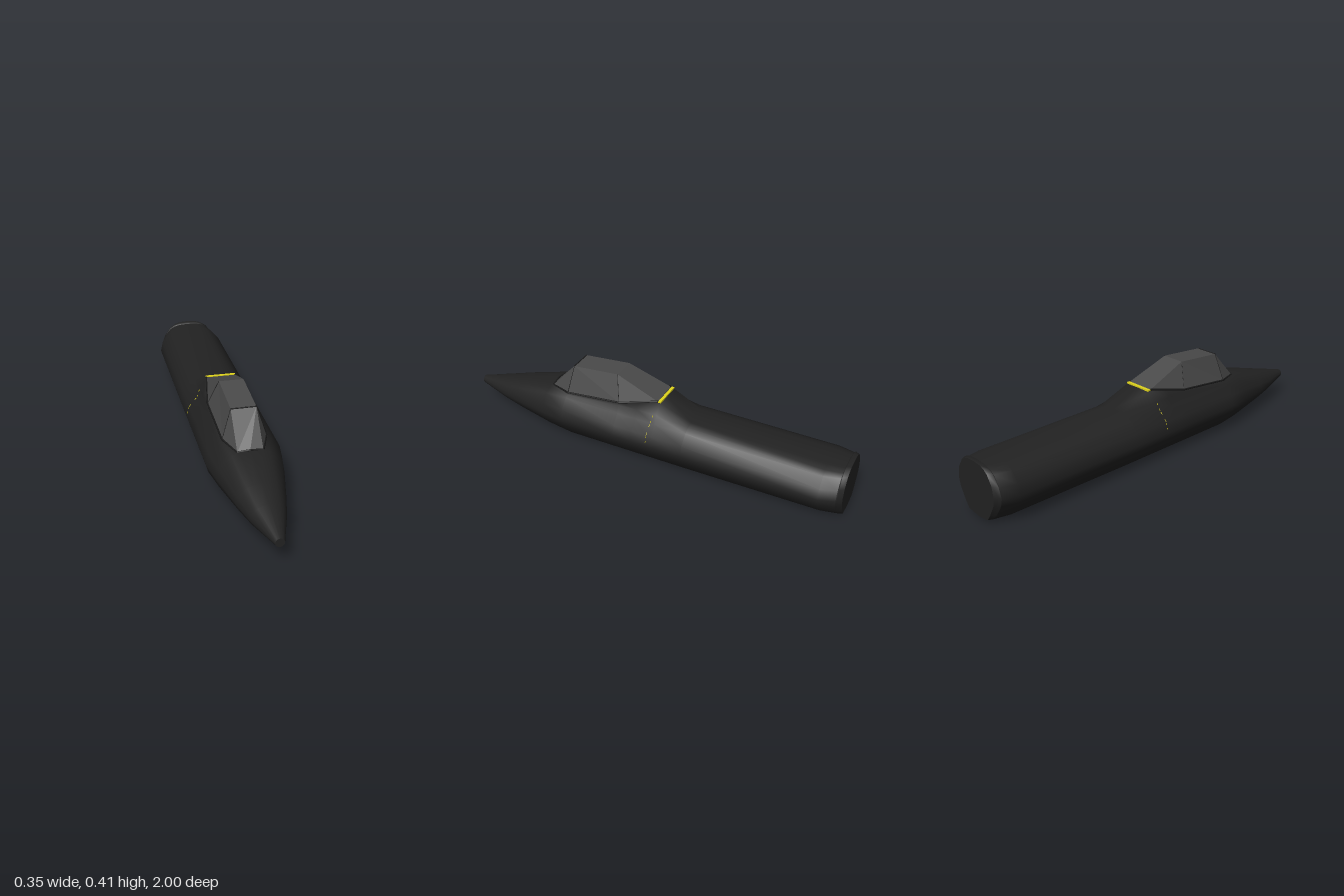
import * as THREE from 'three';

const mat = (name, color, double) => {
  const m = new THREE.MeshStandardMaterial({ color });
  m.name = name;
  if (double) m.side = THREE.DoubleSide;
  return m;
};

// Half of the main hull section, from keel to spine
const HALF = [[0, 0.003], [0.093, 0.012], [0.122, 0.042], [0.163, 0.1], [0.175, 0.14],
  [0.163, 0.193], [0.123, 0.24], [0.095, 0.255], [0.06, 0.264], [0, 0.267]];
const LAST = HALF.length - 1;

// Hull stations: z, half width, bottom, top, roundness, optional upper points (cockpit hump)
const STATIONS = [
  [1, 0.02, 0.09, 0.13, 1],
  [0.83, 0.078, 0.053, 0.176, 0.6],
  [0.72, 0.108, 0.035, 0.207, 0.4],
  [0.53, 0.153, 0.008, 0.254, 0.1],
  [0.41, 0.175, 0.003, 0.267, 0, [[0.11, 0.25], [0.095, 0.257], [0, 0.262]]],
  [0.12, 0.175, 0.003, 0.267, 0, [[0.11, 0.278], [0.102, 0.29], [0, 0.292]]],
  [0.02, 0.175, 0.003, 0.267, 0, [[0.107, 0.283], [0.092, 0.309], [0, 0.312]]],
  [-0.08, 0.175, 0.003, 0.267, 0, [[0.106, 0.28], [0.073, 0.332], [0, 0.334]]],
  [-0.24, 0.175, 0.003, 0.267, 0],
  [-0.9, 0.175, 0.008, 0.262, 0],
  [-0.975, 0.15, 0.011, 0.262, 0],
  [-0.98, 0.148, 0.011, 0.27, 0],
  [-1, 0.13, 0.011, 0.27, 0],
];

// Closed ring of points for one station
function ring([z, w, bottom, top, round, upper]) {
  const half = HALF.map(([x, y], i) => {
    const a = (i / LAST) * Math.PI;
    const nx = THREE.MathUtils.lerp(x / 0.175, Math.sin(a), round);
    const ny = THREE.MathUtils.lerp((y - 0.003) / 0.264, (1 - Math.cos(a)) / 2, round);
    return [nx * w, bottom + ny * (top - bottom)];
  });
  if (upper) half.splice(LAST - 2, 3, ...upper);
  const mirrored = half.slice(1, LAST).reverse().map(([x, y]) => [-x, y]);
  return [...half, ...mirrored].map(([x, y]) => new THREE.Vector3(x, y, z));
}

function loft(rings) {
  const n = rings[0].length, index = [];
  for (let r = 0; r < rings.length - 1; r++) {
    for (let i = 0; i < n; i++) {
      const a = r * n + i, b = r * n + (i + 1) % n;
      index.push(a, b, a + n, b, b + n, a + n);
    }
  }
  // Outward faces: stations run from nose to tail
  for (let i = 0; i < index.length; i += 3) [index[i + 1], index[i + 2]] = [index[i + 2], index[i + 1]];
  const g = new THREE.BufferGeometry().setFromPoints(rings.flat());
  g.setIndex(index);
  g.computeVertexNormals();
  return g;
}

// Flat polygon as a triangle fan
function panel(points) {
  const tris = [];
  for (let i = 1; i < points.length - 1; i++) tris.push(points[0], points[i], points[i + 1]);
  const g = new THREE.BufferGeometry().setFromPoints(tris);
  g.computeVertexNormals();
  return g;
}

// Straight rod between two points
function rod(a, b, radius) {
  const d = b.clone().sub(a);
  const g = new THREE.CylinderGeometry(radius, radius, d.length(), 6);
  g.applyQuaternion(new THREE.Quaternion().setFromUnitVectors(new THREE.Vector3(0, 1, 0), d.normalize()));
  const c = a.clone().add(b).multiplyScalar(0.5);
  return g.translate(c.x, c.y, c.z);
}

export function createModel() {
  const model = new THREE.Group();
  const hullMat = mat('hull black', 0x222222, true);
  const glassMat = mat('canopy grey', 0x4a4a4a, true);
  const trimMat = mat('trim black', 0x191919);
  const yellowMat = mat('marking yellow', 0xe0d41c);
  const add = (name, geometry, material) => {
    const m = new THREE.Mesh(geometry, material);
    m.name = name;
    model.add(m);
  };
  const v = (x, y, z) => new THREE.Vector3(x, y, z);

  // Fuselage and its end caps
  const rings = STATIONS.map(ring);
  add('fuselage', loft(rings.slice(0, 11)), hullMat);
  add('tailRim', loft(rings.slice(10)), hullMat);
  add('noseCap', panel(rings[0]), hullMat);
  add('tailCap', panel([...rings[rings.length - 1]].reverse()), hullMat);

  // Canopy corners for one side
  const corners = (s) => ({
    frontTop: v(0.058 * s, 0.393, 0.39), midTop: v(0.058 * s, 0.415, 0.15),
    rear: v(0.071 * s, 0.336, -0.07), frontBase: v(0.058 * s, 0.248, 0.52),
    sideBase: v(0.1 * s, 0.258, 0.41), midBase: v(0.105 * s, 0.292, 0.12),
  });
  const L = corners(1), R = corners(-1);

  // Centre panes
  add('windshield', panel([L.frontTop, R.frontTop, R.frontBase, v(0, 0.256, 0.52), L.frontBase]), glassMat);
  add('canopyRoof', panel([L.midTop, R.midTop, R.frontTop, L.frontTop]), glassMat);
  add('rearPane', panel([L.rear, R.rear, R.midTop, L.midTop]), glassMat);
  add('frontTopFrame', rod(L.frontTop, R.frontTop, 0.003), trimMat);
  add('frontSillLeft', rod(L.frontBase, v(0, 0.256, 0.525), 0.005), trimMat);
  add('frontSillRight', rod(R.frontBase, v(0, 0.256, 0.525), 0.005), trimMat);

  // Side panes, frames and markings
  for (const [side, c, s] of [['left', L, 1], ['right', R, -1]]) {
    const pane = (name, pts) => add(side + name, panel(s > 0 ? pts : pts.reverse()), glassMat);
    pane('QuarterPane', [c.frontTop, c.frontBase, c.sideBase]);
    pane('SidePane', [c.frontTop, c.sideBase, c.midBase, c.midTop]);
    pane('RearSidePane', [c.midTop, c.midBase, c.rear]);
    const sill = [c.frontBase, c.sideBase, c.midBase, c.rear];
    for (let i = 0; i < 3; i++) add(side + 'Sill', rod(sill[i], sill[i + 1], 0.005), trimMat);
    add(side + 'FrontFrame', rod(c.frontTop, c.sideBase, 0.0015), trimMat);
    add(side + 'RearFrame', rod(c.midTop, c.midBase, 0.0015), trimMat);
    // Broken hairline down the flank
    const line = [v(0.107 * s, 0.282, -0.065), v(0.123 * s, 0.241, -0.057), v(0.1635 * s, 0.193, -0.055), v(0.1715 * s, 0.158, -0.055)];
    for (let i = 0; i < 3; i++) {
      for (const t of [0.1, 0.75]) {
        const a = line[i].clone().lerp(line[i + 1], t), b = line[i].clone().lerp(line[i + 1], t + 0.22);
        add(side + 'Hairline', rod(a, b, 0.0015), yellowMat);
      }
    }
  }

  // Yellow bar behind the canopy
  const bar = new THREE.BoxGeometry(0.145, 0.008, 0.014);
  bar.translate(0, 0.334, -0.08);
  add('rearBar', bar, yellowMat);
  return model;
}
